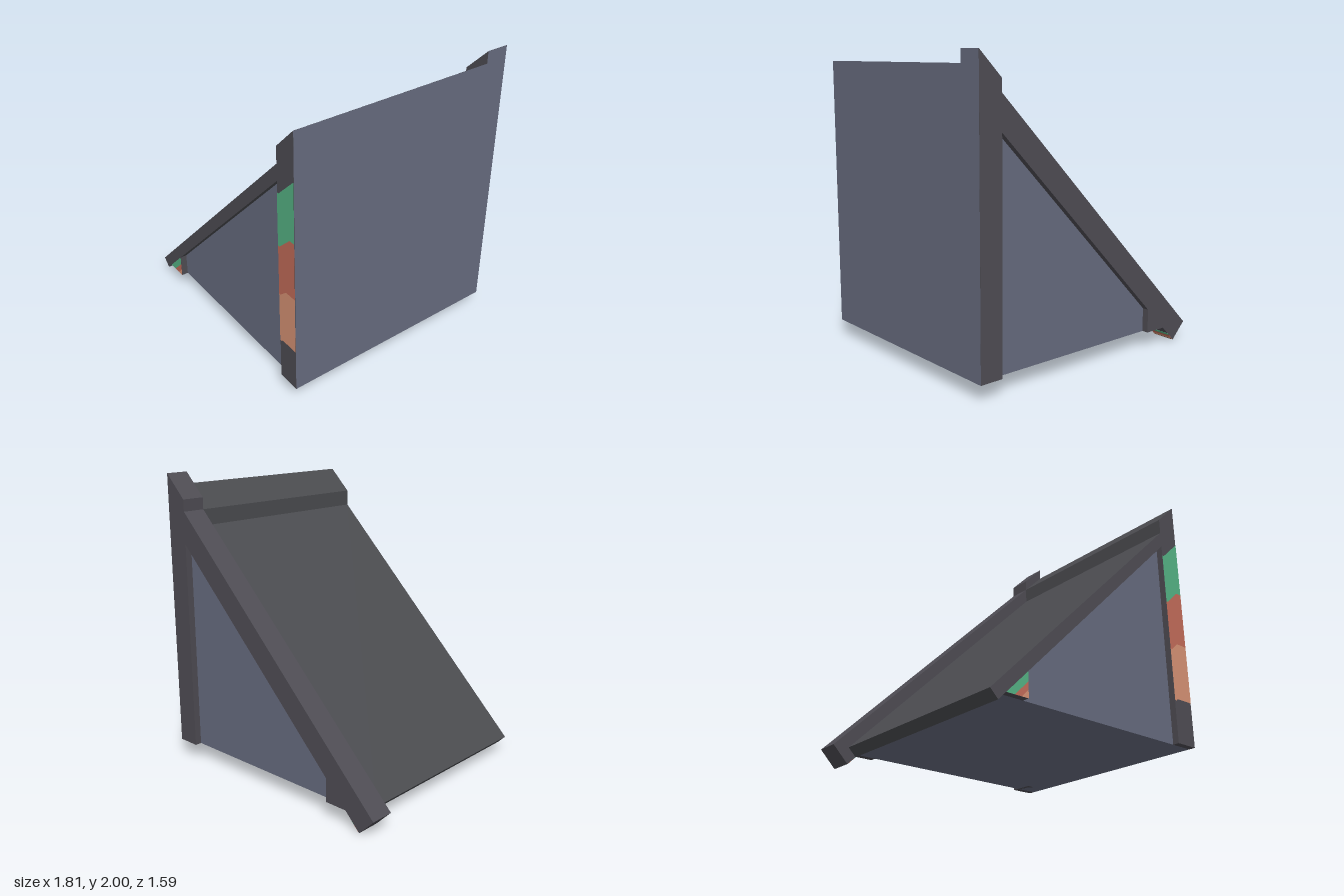
import * as THREE from 'three';

const mat = (name, color, side = THREE.FrontSide) => {
  const m = new THREE.MeshStandardMaterial({ color, side });
  m.name = name;
  return m;
};

export function createModel() {
  const group = new THREE.Group();
  const wall = mat('slate blue', 0x666b7e);
  const trim = mat('dark trim', 0x4e4c53);
  const roof = mat('roof grey', 0x4a4b4f);
  const green = mat('green', 0x55b384, THREE.DoubleSide);
  const red = mat('brick red', 0xc26c59, THREE.DoubleSide);
  const tan = mat('tan', 0xd69274, THREE.DoubleSide);

  const END = 0.795, BACK = -0.635, INSET = 0.75;
  const BASE = 0.11, POST = 0.745, RIGHT = 0.905, EAVE = -0.525;
  // Offsets of the 45 degree lines y = x + c
  const UNDER = 0.795, TOP = 0.905, RIM = 1.015, CAP = 1.095;

  const add = (name, geometry, material) => {
    const mesh = new THREE.Mesh(geometry, material);
    mesh.name = name;
    group.add(mesh);
    return mesh;
  };
  const shape = (pts) => new THREE.Shape(pts.map(([x, y]) => new THREE.Vector2(x, y)));
  const prism = (name, pts, z0, z1, material) => {
    const g = new THREE.ExtrudeGeometry(shape(pts), { depth: z1 - z0, bevelEnabled: false });
    return add(name, g.translate(0, 0, z0), material);
  };

  // Wedge-shaped wall core, inset at both gables
  prism('wallCore', [
    [BASE - UNDER, BASE], [RIGHT, BASE], [RIGHT, RIGHT + UNDER],
  ], -INSET, INSET, wall);

  // Sloping roof slab with a square-cut eave
  prism('roofSlab', [
    [BASE - TOP, BASE], [-0.74, -0.74 + UNDER],
    [POST, POST + UNDER], [POST, POST + TOP],
  ], BACK, END, [trim, roof]);

  // Raised ridge along the tall side
  prism('ridge', [
    [POST, POST + UNDER], [RIGHT, POST + UNDER], [RIGHT, RIGHT + RIM], [POST, POST + RIM],
  ], BACK, END, [trim, roof]);

  // Thicker verge frame around the back gable
  prism('backFrame', [
    [-0.905, BASE], [-0.795, 0], [BASE - UNDER, BASE], [EAVE, BASE], [EAVE, EAVE + UNDER],
    [POST, POST + UNDER], [POST, BASE], [RIGHT, BASE], [RIGHT, RIGHT + CAP],
    [POST, POST + CAP], [POST, POST + RIM],
  ], -END, BACK, trim);

  // Front corner post and eave block
  prism('frontPost', [
    [POST, BASE], [RIGHT, BASE], [RIGHT, POST + UNDER], [POST, POST + UNDER],
  ], INSET, END, trim);
  prism('frontEaveBlock', [
    [BASE - UNDER, BASE], [EAVE, BASE], [EAVE, EAVE + UNDER],
  ], INSET, END, trim);

  // Outer face of the tall side
  const side = new THREE.ShapeGeometry(shape([
    [-END, BASE], [END, BASE], [END, RIGHT + CAP], [-BACK, RIGHT + CAP],
    [-BACK, RIGHT + RIM], [-END, RIGHT + RIM],
  ]));
  add('tallSideFace', side.rotateY(Math.PI / 2).translate(RIGHT + 0.001, 0, 0), wall);

  // Painted bands on the front post; each edge steps down at 45 degrees
  const edge = (y, bend, drop) => [
    [RIGHT, y], [bend, y], [0.76, y - drop], [POST, y - drop],
  ];
  const edges = [
    edge(0.41, 0.772, 0.012), edge(0.81, 0.815, 0.05),
    edge(1.205, 0.86, 0.095), edge(1.605, 0.9, 0.137),
  ];
  [tan, red, green].forEach((m, i) => {
    const pts = [...edges[i], ...edges[i + 1].slice().reverse()];
    add('postBand' + (i + 1), new THREE.ShapeGeometry(shape(pts)).translate(0, 0, END + 0.002), m);
  });

  // Diagonal bands on the front eave block
  const cuts = [0, 0.06, 0.11, 0.16];
  [green, red, tan].forEach((m, i) => {
    const a = UNDER - cuts[i], b = UNDER - cuts[i + 1];
    const pts = [[BASE - a, BASE], [BASE - b, BASE], [EAVE, EAVE + b], [EAVE, EAVE + a]];
    add('eaveBand' + (i + 1), new THREE.ShapeGeometry(shape(pts)).translate(0, 0, END + 0.002), m);
  });

  // Bands on the underside of the back frame's eave
  const levels = [0.06, 0.042, 0.024, 0.006];
  [green, red, tan].forEach((m, i) => {
    const y0 = levels[i + 1], y1 = levels[i], o = 0.001;
    prism('eaveUnderBand' + (i + 1), [
      [y0 - UNDER, y0], [y0 - UNDER + o, y0 - o], [y1 - UNDER + o, y1 - o], [y1 - UNDER, y1],
    ], -END, BACK, m);
  });

  return group;
}
